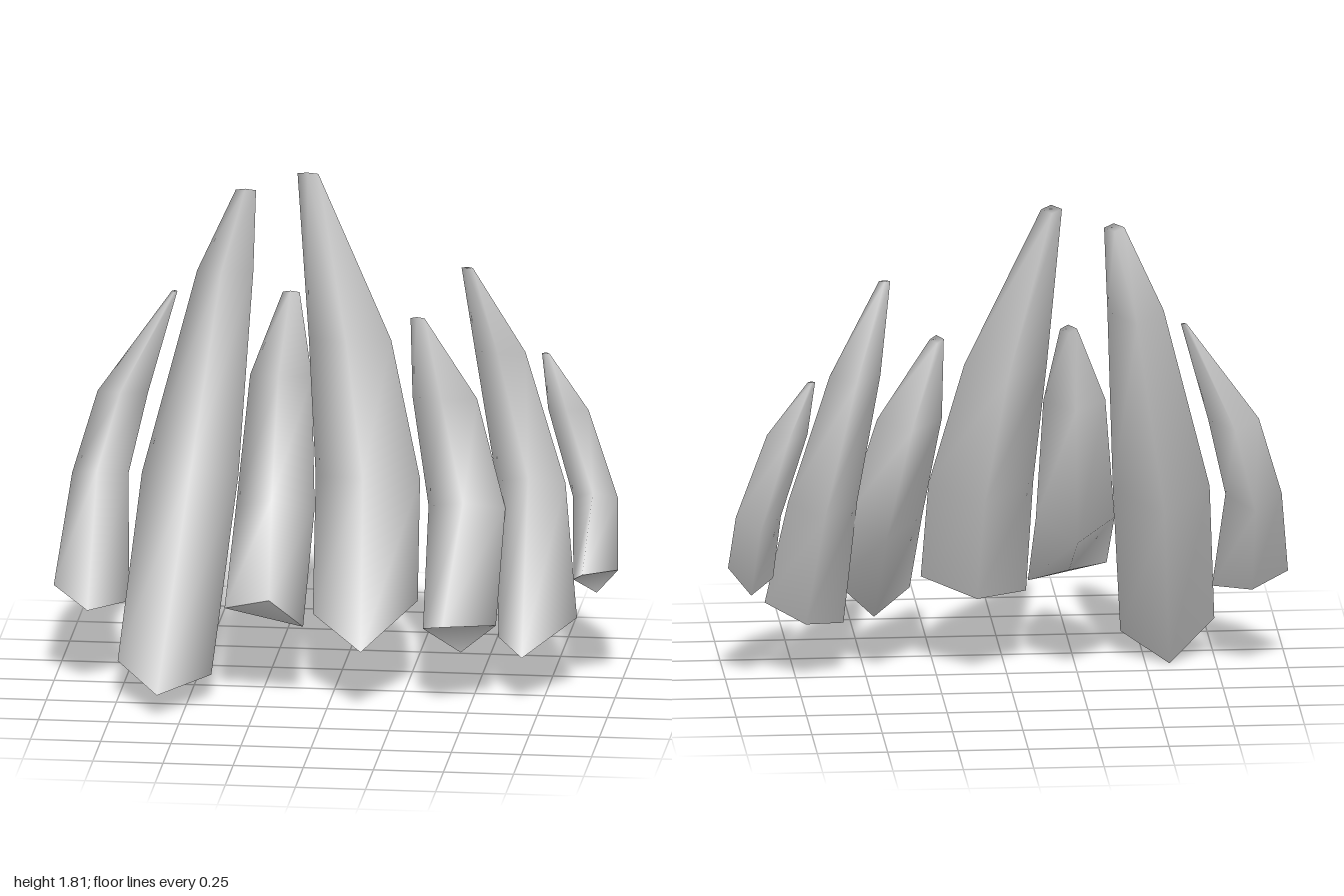
import * as THREE from 'three';

const material = new THREE.MeshStandardMaterial({ color: 0xcccccc });

// Four corners of a diamond section: left edge, front ridge, right edge, back ridge.
// lift tilts the section; options set the back depth, back lift, roll and ridge shift.
function corners([x, y, z, w, d, lift = 0, options = {}]) {
  const { back = d, backLift = -lift, roll = 0, shift = 0 } = options;
  return [
    [x - w, y - roll, z],
    [x + shift, y + lift, z + d],
    [x + w, y + roll, z],
    [x, y + backLift, z - back],
  ];
}

// Smooth-sided shard lofted through its sections, with a crisp base cap.
function shard(name, sections) {
  const rings = sections.map(corners);
  const last = rings.length - 1;
  const points = rings.flat();
  const index = [];
  for (let i = 0; i < last; i++) {
    for (let j = 0; j < 4; j++) {
      const a = i * 4 + j, b = i * 4 + (j + 1) % 4;
      index.push(a, b, b + 4, a, b + 4, a + 4);
    }
  }
  // The tip shares its corners with the sides, the base has its own
  const tip = last * 4, base = points.length;
  points.push(...rings[0]);
  index.push(tip, tip + 1, tip + 2, tip, tip + 2, tip + 3);
  index.push(base, base + 2, base + 1, base, base + 3, base + 2);

  const geometry = new THREE.BufferGeometry();
  geometry.setAttribute('position', new THREE.Float32BufferAttribute(points.flat(), 3));
  geometry.setIndex(index);
  geometry.computeVertexNormals();
  const mesh = new THREE.Mesh(geometry, material);
  mesh.name = name;
  return mesh;
}

export function createModel() {
  const group = new THREE.Group();
  group.name = 'shardCluster';

  // Sections from base to tip: x, y, z, half width, half depth, lift, options
  group.add(
    shard('outerRightShard', [
      [-0.865, 0.335, 0.01, 0.135, 0.14, -0.025, { back: 0.1, backLift: -0.015, roll: -0.025 }],
      [-0.86, 0.71, -0.22, 0.1, 0.1, 0.04],
      [-0.785, 1.0, -0.27, 0.09, 0.09, 0.02],
      [-0.605, 1.365, -0.31, 0.01, 0.012],
    ]),
    shard('tallRightShard', [
      [-0.585, 0.12, 0.19, 0.167, 0.25, -0.03, { back: 0.1, backLift: -0.115, roll: -0.02 }],
      [-0.535, 0.73, -0.18, 0.172, 0.16, 0.06, { shift: 0.02 }],
      [-0.43, 1.43, -0.36, 0.1, 0.13, 0.03, { back: 0.08 }],
      [-0.355, 1.735, -0.348, 0.036, 0.02, 0.01],
    ]),
    shard('smallInnerShard', [
      [-0.23, 0.32, 0.2, 0.14, 0.06, 0.08, { back: 0.09, backLift: 0.03, roll: -0.03, shift: 0.025 }],
      [-0.23, 0.62, -0.17, 0.14, 0.12, 0.06],
      [-0.22, 1.08, -0.26, 0.11, 0.085, 0.02],
      [-0.193, 1.365, -0.345, 0.03, 0.02, 0.01],
    ]),
    shard('tallestShard', [
      [0.115, 0.325, 0.05, 0.187, 0.287, -0.083, { back: 0.17, backLift: -0.01, roll: 0.03, shift: 0.015 }],
      [0.103, 0.75, -0.14, 0.186, 0.16, 0.04],
      [0.025, 1.22, -0.27, 0.147, 0.12, 0.02],
      [-0.133, 1.805, -0.34, 0.037, 0.022, 0.01],
    ]),
    shard('innerLeftShard', [
      [0.463, 0.295, 0.16, 0.13, 0.148, 0.04, { back: 0.04, backLift: -0.105, roll: 0.01, shift: -0.045 }],
      [0.452, 0.64, -0.18, 0.137, 0.125, 0.05],
      [0.365, 1.02, -0.25, 0.115, 0.11, 0.02],
      [0.268, 1.31, -0.25, 0.025, 0.02, 0.01],
    ]),
    shard('middleLeftShard', [
      [0.722, 0.25, -0.02, 0.14, 0.155, -0.07, { back: 0.085, backLift: -0.02, roll: 0.04, shift: -0.04 }],
      [0.673, 0.72, -0.245, 0.123, 0.09, 0.04],
      [0.56, 1.19, -0.275, 0.09, 0.075, 0.01],
      [0.45, 1.515, -0.205, 0.02, 0.012],
    ]),
    shard('outerLeftShard', [
      [0.919, 0.425, -0.11, 0.08, 0.097, 0.025, { back: 0.03, backLift: -0.075, roll: 0.02, shift: -0.038 }],
      [0.902, 0.67, -0.25, 0.08, 0.08, 0.04],
      [0.802, 0.98, -0.285, 0.072, 0.055, 0.01],
      [0.718, 1.178, -0.31, 0.013, 0.012],
    ]),
  );
  return group;
}
